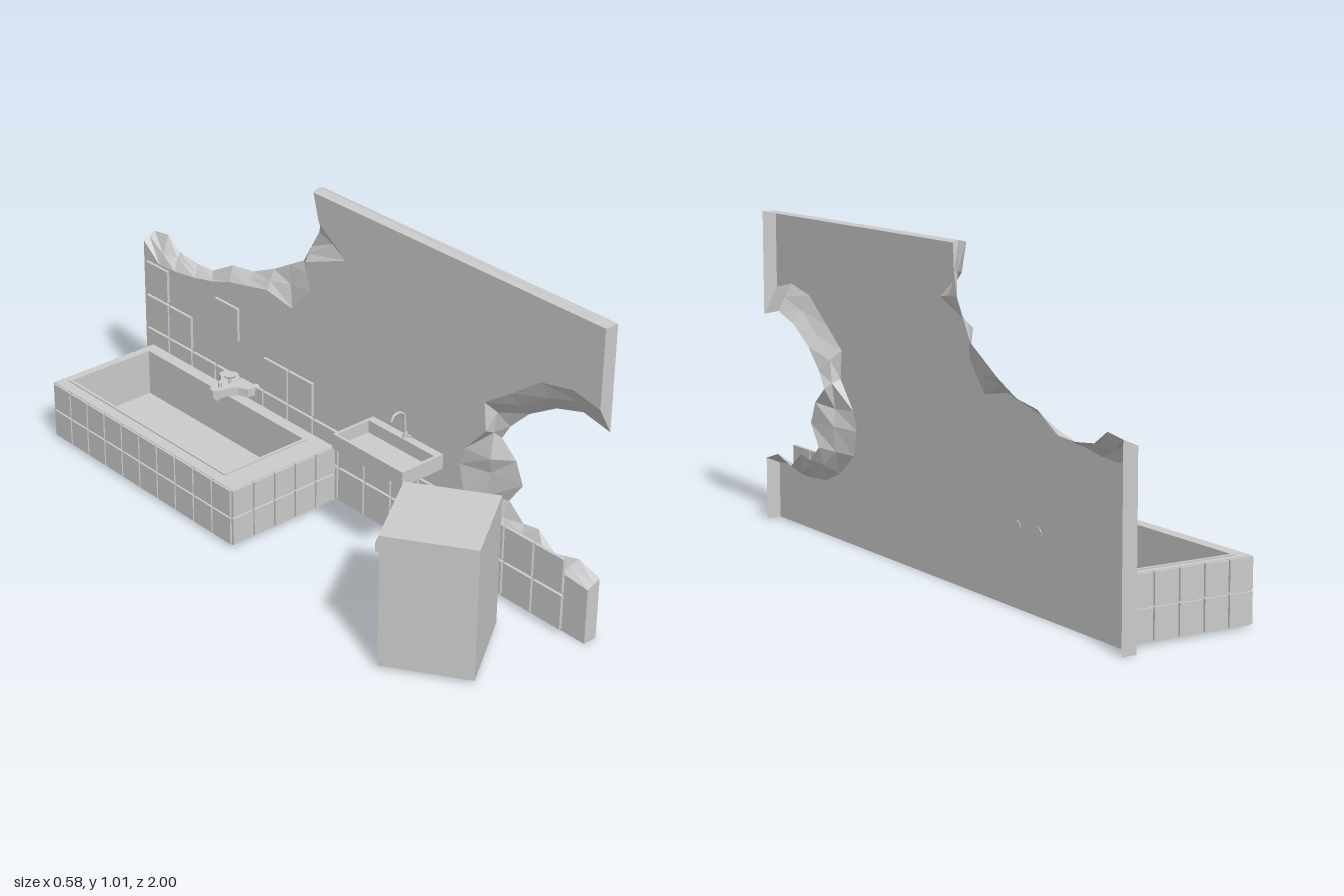
import * as THREE from 'three';

const mat = new THREE.MeshStandardMaterial({ color: 0xcccccc });
const open = new THREE.MeshStandardMaterial({ color: 0xcccccc, side: THREE.DoubleSide });
const flat = new THREE.MeshStandardMaterial({ color: 0xcccccc, flatShading: true, side: THREE.DoubleSide });

function add(parent, name, geo, x = 0, y = 0, z = 0, m = mat) {
  const mesh = new THREE.Mesh(geo, m);
  mesh.name = name;
  mesh.position.set(x, y, z);
  parent.add(mesh);
  return mesh;
}

// Box given by its minimum and maximum corners
function block(parent, name, x0, x1, y0, y1, z0, z1) {
  return add(parent, name, new THREE.BoxGeometry(x1 - x0, y1 - y0, z1 - z0),
    (x0 + x1) / 2, (y0 + y1) / 2, (z0 + z1) / 2);
}

const cyl = (r, h, r2 = r) => new THREE.CylinderGeometry(r, r2, h, 20);

// Plan outline of (x, z) points raised from y0 to y1, with an optional hole
function raise(points, y0, y1, hole) {
  const toV = ([x, z]) => new THREE.Vector2(x, -z);
  const shape = new THREE.Shape(points.map(toV));
  if (hole) shape.holes.push(new THREE.Path(hole.map(toV)));
  const geo = new THREE.ExtrudeGeometry(shape, { depth: y1 - y0, bevelEnabled: false });
  return geo.rotateX(-Math.PI / 2).translate(0, y0, 0);
}
const rect = (x0, x1, z0, z1) => [[x0, z1], [x1, z1], [x1, z0], [x0, z0]];

// Broken wall: a shell open at the back and below, with a jagged rim of facets
function makeWall(parent) {
  let seed = 7;
  const rand = () => (seed = (seed * 16807) % 2147483647) / 2147483647;
  // each row: back edge z, y, then front edge z, y where the wall is broken
  const topBreak = [
    [-1, .57, -1, .55], [-.93, .58, -.92, .49], [-.87, .54, -.84, .495], [-.78, .53, -.74, .51],
    [-.7, .535, -.65, .53], [-.6, .59, -.56, .56], [-.5, .605, -.47, .58], [-.4, .65, -.38, .6],
    [-.33, .69, -.26, .58], [-.26, .73, -.18, .67], [-.225, .79, -.2, .76],
    [-.19, .85, -.02, .83], [-.175, .92, -.14, .91], [-.17, 1, -.165, 1]];
  const sideHole = [
    [1, .67, 1, .755], [.9, .69, .9, .775], [.8, .66, .78, .75], [.7, .6, .67, .67],
    [.63, .53, .57, .6], [.6, .48, .58, .51], [.66, .43, .5, .42], [.69, .36, .48, .36],
    [.64, .29, .5, .28], [.7, .24, .59, .21], [.76, .25, .68, .175], [.83, .2, .8, .165],
    [.92, .225, .9, .19], [1, .2, 1, .18]];
  const rows = [[1, 0], [-1, 0], ...topBreak, [1, 1], ...sideHole];
  const front = [], mid = [], back = [];
  for (const [bz, by, fz = bz, fy = by] of rows) {
    const jag = fz !== bz ? rand() - .5 : 0;
    front.push([.24, fy, fz]);
    mid.push([.2635 + jag * .02, (by + fy) / 2 + jag * .02, (bz + fz) / 2 - jag * .02]);
    back.push([.287, by, bz]);
  }
  const pos = [];
  const tri = (...p) => p.forEach(v => pos.push(...v));
  const faces = THREE.ShapeUtils.triangulateShape(front.map(p => new THREE.Vector2(-p[2], p[1])), []);
  for (const [a, b, c] of faces) tri(front[a], front[c], front[b]);
  for (let i = 1; i < rows.length; i++) {
    const j = (i + 1) % rows.length;
    if (i === rows.length - 15) continue; // the corner row is joined below
    for (const [p, q] of [[back, mid], [mid, front]]) {
      tri(p[i], q[i], q[j]);
      tri(p[i], q[j], p[j]);
    }
  }
  const geo = new THREE.BufferGeometry();
  geo.setAttribute('position', new THREE.Float32BufferAttribute(pos, 3));
  geo.computeVertexNormals();
  add(parent, 'brokenWall', geo, 0, 0, 0, flat);
  // upper end face
  const end = new THREE.Shape([[.24, .755], [.287, .67], [.287, 1], [.24, 1]].map(p => new THREE.Vector2(...p)));
  add(parent, 'wallEnd', new THREE.ShapeGeometry(end), 0, 0, 1, flat);
}

function makeWallTiles(parent) {
  const tiles = new THREE.Group();
  tiles.name = 'wallTiles';
  parent.add(tiles);
  // two full rows, plus a few tiles left higher up
  const extra = ['0,2', '0,3', '1,2', '3,3', '5,2', '6,2'];
  for (let c = 0; c < 16; c++) for (let r = 0; r < 4; r++) {
    if (r > 1 && !extra.includes(c + ',' + r)) continue;
    const z = -.97 + c * .1185, y = .015 + r * .121;
    block(tiles, 'wallTile', .222, .232, y, y + .113, z, z + .111);
  }
}

function makeBath(parent) {
  const bath = new THREE.Group();
  bath.name = 'bathtub';
  parent.add(bath);
  // open-bottomed casing, rim, raised lip, and the tub hung inside
  const well = rect(-.135, .175, -.905, -.135);
  add(bath, 'casing', raise(rect(-.183, .22, -.935, -.045), .005, .19, rect(-.178, .215, -.93, -.05)));
  add(bath, 'rim', raise(rect(-.183, .22, -.935, -.045), .19, .198, well));
  add(bath, 'lip', raise(rect(-.145, .185, -.915, -.125), .198, .202, well));
  add(bath, 'tubWalls', raise(rect(-.14, .18, -.91, -.13), .045, .19, well));
  block(bath, 'tubFloor', -.14, .18, .037, .045, -.91, -.13);
  // two rows of tiles on the long side and both ends
  for (let r = 0; r < 2; r++) {
    const y0 = .01 + r * .096, y1 = y0 + .09;
    for (let i = 0; i < 10; i++) {
      const z = -.935 + i * .089;
      block(bath, 'sideTile', -.19, -.183, y0, y1, z + .003, z + .086);
    }
    for (let i = 0; i < 5; i++) {
      const x = -.186 + i * .0825;
      block(bath, 'endTile', x + .002, x + .079, y0, y1, -.942, -.935);
      block(bath, 'endTile', x + .002, x + .079, y0, y1, -.045, -.038);
    }
  }
  // mixer tap with spout, button and round handle
  const outline = [[.105, -.5], [.12, -.513], [.155, -.518], [.18, -.535], [.195, -.565], [.222, -.568],
    [.222, -.417], [.195, -.42], [.18, -.45], [.155, -.467], [.12, -.472], [.105, -.485]];
  add(bath, 'tapBody', raise(outline, .222, .25));
  add(bath, 'tapSpout', cyl(.011, .012), .125, .217, -.493);
  add(bath, 'tapButton', cyl(.006, .016), .14, .256, -.493);
  add(bath, 'tapStem', cyl(.006, .03), .18, .262, -.493);
  add(bath, 'tapHandle', cyl(.022, .006, .018), .18, .277, -.493);
  for (const z of [-.535, -.43]) {
    add(bath, 'wallPipe', cyl(.018, .021), .2315, .233, z).rotation.z = Math.PI / 2;
  }
}

function makeSink(parent) {
  const sink = new THREE.Group();
  sink.name = 'washbasin';
  parent.add(sink);
  add(sink, 'basin', raise(rect(.06, .222, .13, .43), .327, .376, rect(.069, .195, .14, .42)));
  block(sink, 'basinFloor', .069, .195, .327, .335, .14, .42);
  // gooseneck tap
  const path = new THREE.CatmullRomCurve3([[.207, .37], [.205, .42], [.2, .455], [.178, .469],
    [.157, .463], [.15, .449]].map(([x, y]) => new THREE.Vector3(x, y, .285)));
  add(sink, 'gooseneck', new THREE.TubeGeometry(path, 24, .0042, 10), 0, 0, 0, open);
  add(sink, 'tapBase', cyl(.006, .02, .009), .207, .385, .285);
  add(sink, 'tapLever', cyl(.003, .03), .205, .39, .298).rotation.x = Math.PI / 2;
  // waste trap
  add(sink, 'drainPipe', cyl(.009, .07), .192, .295, .285);
  add(sink, 'trapCup', cyl(.014, .05), .192, .248, .285);
  add(sink, 'wastePipe', cyl(.008, .045), .212, .245, .285).rotation.z = Math.PI / 2;
}

function makeWasher(parent) {
  const washer = new THREE.Group();
  washer.name = 'washingMachine';
  washer.position.set(-.084, 0, .736);
  washer.rotation.y = Math.atan2(-.55, -.835);
  parent.add(washer);
  // cabinet without a bottom face
  const cabinet = new THREE.BoxGeometry(.298, .423, .277);
  const faces = Array.from(cabinet.index.array);
  cabinet.setIndex([...faces.slice(0, 18), ...faces.slice(24)]);
  add(washer, 'cabinet', cabinet, 0, .2215, -.0025, open);
  // control panel with a sloped lower edge
  const side = new THREE.Shape([[.136, .378], [.148, .384], [.148, .41], [.14, .433], [.136, .433]]
    .map(([z, y]) => new THREE.Vector2(-z, y)));
  const panel = new THREE.ExtrudeGeometry(side, { depth: .298, bevelEnabled: false });
  add(washer, 'controlPanel', panel.rotateY(Math.PI / 2), -.149, 0, 0);
  for (const x of [-.02, .1]) {
    add(washer, 'knob', cyl(.006, .004), x, .405, .148).rotation.x = Math.PI / 2;
  }
  // round door
  add(washer, 'doorRing', new THREE.TorusGeometry(.094, .006, 10, 40), 0, .187, .136);
  add(washer, 'doorGlass', new THREE.CylinderGeometry(.082, .088, .006, 40), 0, .187, .138).rotation.x = Math.PI / 2;
}

export function createModel() {
  const model = new THREE.Group();
  model.name = 'ruinedBathroom';
  makeWall(model);
  makeWallTiles(model);
  makeBath(model);
  makeSink(model);
  makeWasher(model);
  return model;
}
